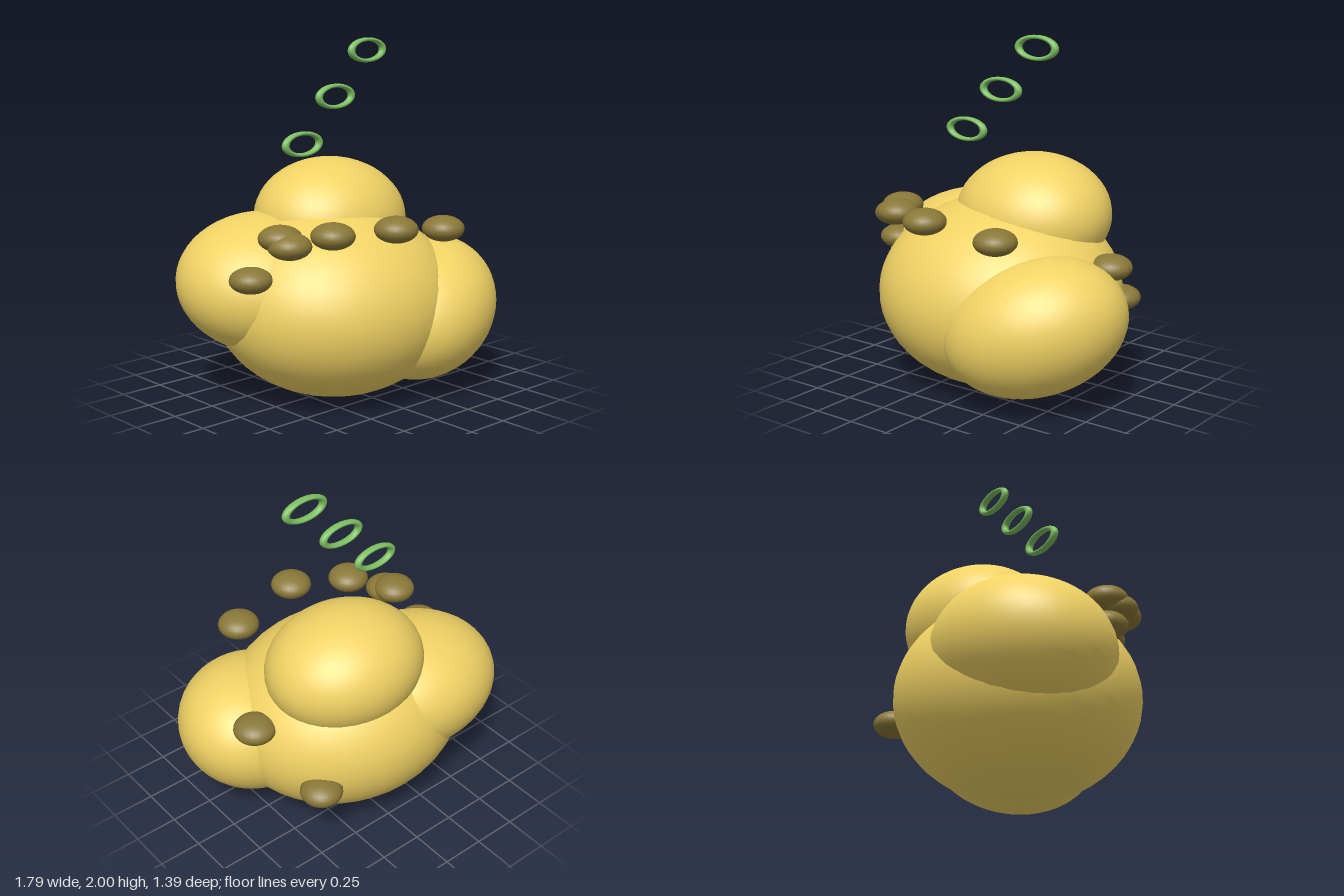
import * as THREE from 'three';

const skin = new THREE.MeshStandardMaterial({ color: 0xf0d264 });
const spotMat = new THREE.MeshStandardMaterial({ color: 0x8a7838 });
const ringMat = new THREE.MeshStandardMaterial({ color: 0x7cbf60 });

// Ellipsoid with given half extents; xy, xz and yz make it lean diagonally.
function lobe(name, centre, [rx, ry, rz], [xy, xz, yz] = [0, 0, 0]) {
  const geo = new THREE.SphereGeometry(1, 40, 28);
  const a = xy / ry, b = yz / ry;
  const c = Math.sqrt(rx * rx - a * a);
  const d = (xz - a * b) / c;
  const e = Math.sqrt(rz * rz - b * b - d * d);
  geo.applyMatrix4(new THREE.Matrix4().set(
    c, a, 0, 0,
    0, ry, 0, 0,
    d, b, e, 0,
    0, 0, 0, 1
  ));
  const mesh = new THREE.Mesh(geo, skin);
  mesh.name = name;
  mesh.position.set(...centre);
  return mesh;
}

export function createModel() {
  const model = new THREE.Group();
  model.name = 'lumpyTuber';

  // Rounded lumps
  model.add(
    lobe('body', [-0.035, 0.538, -0.03], [0.72, 0.538, 0.66], [0, 0, -0.02]),
    lobe('frontLobe', [0.41, 0.463, 0.245], [0.48, 0.395, 0.45], [0.034, -0.035, -0.01]),
    lobe('backLobe', [-0.36, 0.655, -0.22], [0.54, 0.385, 0.478], [0, 0, -0.02]),
    lobe('topLobe', [0.083, 0.97, -0.19], [0.464, 0.345, 0.41], [0, 0, -0.008])
  );

  // Flattened dark spots
  const spots = [
    [-0.595, 0.99, 0.165], [-0.59, 0.958, 0.235], [-0.43, 1.015, 0.395],
    [-0.11, 1.028, 0.54], [0.32, 0.967, 0.48], [-0.71, 0.765, 0.06],
    [0.655, 0.757, -0.12], [0.49, 0.47, -0.49],
  ];
  const spotGeo = new THREE.SphereGeometry(0.119, 24, 16).scale(1, 0.6, 1);
  spots.forEach((p, i) => {
    const spot = new THREE.Mesh(spotGeo, spotMat);
    spot.name = `spot${i + 1}`;
    spot.position.set(...p);
    model.add(spot);
  });

  // Three flattened rings rising diagonally
  const ringGeo = new THREE.TorusGeometry(0.121, 0.022, 12, 40).scale(1, 0.49, 1);
  for (let i = 0; i < 3; i++) {
    const ring = new THREE.Mesh(ringGeo, ringMat);
    ring.name = `ring${i + 1}`;
    ring.position.set(-0.27 + i * 0.243, 1.44 + i * 0.245, -0.025);
    model.add(ring);
  }
  return model;
}
